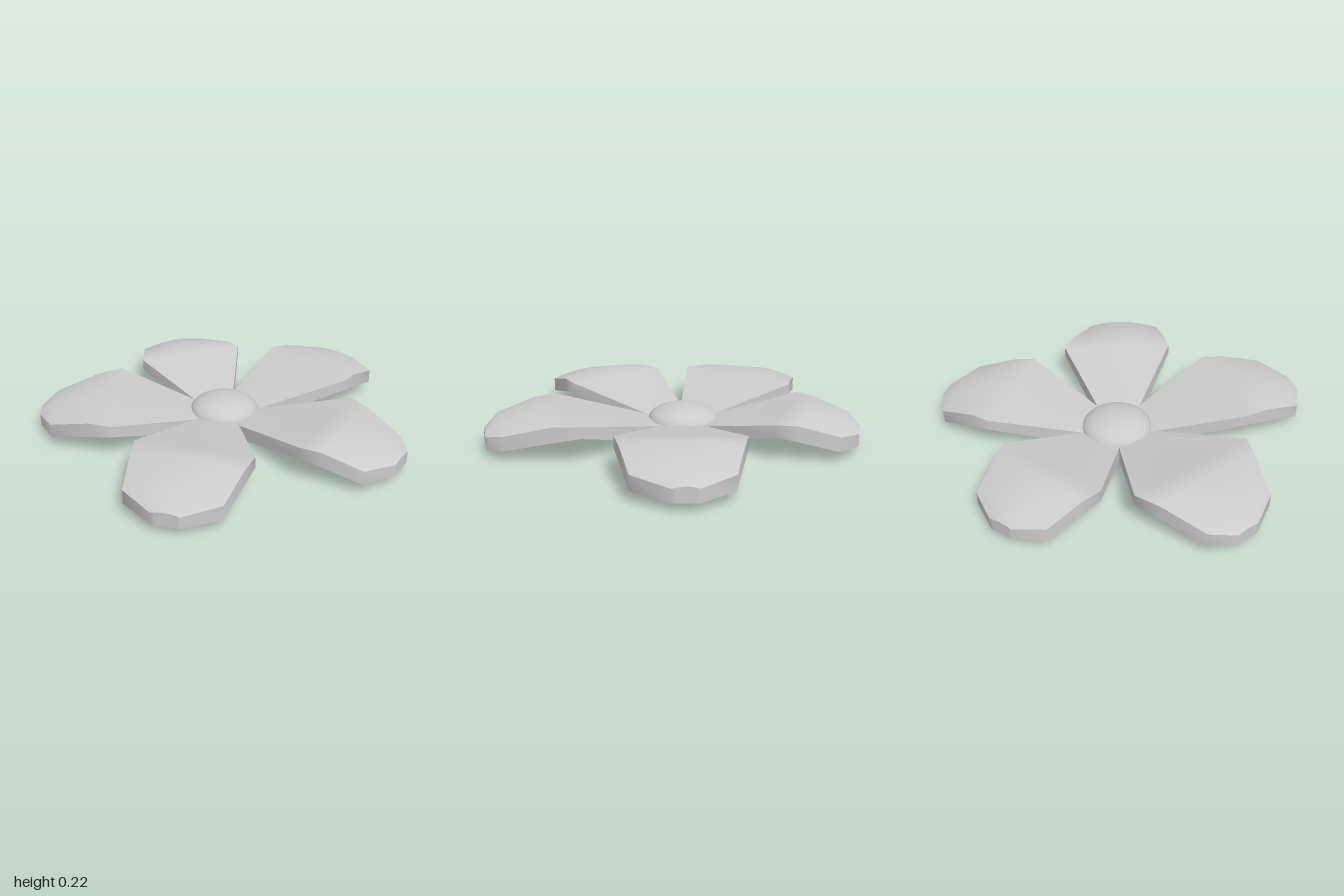
import * as THREE from 'three';

const material = new THREE.MeshStandardMaterial({ color: 0xcccccc, side: THREE.DoubleSide });
const HUB = [-0.02, -0.10];
const COLUMNS = 8;

// Points [x, z] where neighbouring petals meet around the hub
const NOTCHES = [[-0.14, 0.08], [0.11, 0.08], [0.18, -0.15], [-0.02, -0.30], [-0.21, -0.15]];

// Each petal: [left, right] outline points at the shoulder, the bend and the tip
const PETALS = [
  ['frontPetal', [[-0.305, 0.54], [0.305, 0.54]], [[-0.24, 0.88], [0.24, 0.88]], [[-0.07, 0.98], [0.07, 0.98]]],
  ['leftPetal', [[0.49, 0.40], [0.67, -0.20]], [[0.81, 0.44], [0.96, 0.05]], [[0.95, 0.30], [1.0, 0.16]]],
  ['backLeftPetal', [[0.61, -0.40], [0.11, -0.77]], [[0.73, -0.71], [0.36, -0.98]], [[0.64, -0.89], [0.54, -0.96]]],
  ['backRightPetal', [[-0.10, -0.73], [-0.60, -0.37]], [[-0.35, -0.92], [-0.70, -0.66]], [[-0.52, -0.89], [-0.62, -0.81]]],
  ['rightPetal', [[-0.68, -0.23], [-0.47, 0.45]], [[-0.97, 0.02], [-0.83, 0.41]], [[-1.0, 0.16], [-0.96, 0.28]]],
];

// Heights of each row, hub to tip: [centre, edge]
const TOP = [[0.09, 0.09], [0.09, 0.085], [0.19, 0.19], [0.215, 0.185], [0.165, 0.13], [0.115, 0.105]];
const BOTTOM = [[0, 0], [0, 0], [0.10, 0.13], [0.10, 0.105], [0.065, 0.055], [0.04, 0.04]];

const mix = (a, b, t) => a.map((v, i) => v + (b[i] - v) * t);

// Smooth surface through a grid of points
function gridGeometry(rows) {
  const n = rows[0].length, index = [];
  for (let r = 0; r < rows.length - 1; r++) {
    for (let c = 0; c < n - 1; c++) {
      const a = r * n + c, b = a + n;
      index.push(a, b, b + 1, a, b + 1, a + 1);
    }
  }
  const geometry = new THREE.BufferGeometry();
  geometry.setAttribute('position', new THREE.Float32BufferAttribute(rows.flat(2), 3));
  geometry.setIndex(index);
  geometry.computeVertexNormals();
  return geometry;
}

// Arched sheet across the petal outline at the given heights
function sheet(outline, heights) {
  return outline.map(([left, right], r) => Array.from({ length: COLUMNS + 1 }, (_, c) => {
    const u = c / COLUMNS;
    const [x, z] = mix(left, right, u);
    const [centre, edge] = heights[r];
    return [x, centre + (edge - centre) * (2 * u - 1) ** 2, z];
  }));
}

// Points around the free border of a sheet: left side, tip, right side
function border(rows) {
  const sides = rows.slice(1, -1);
  return [...sides.map((r) => r[0]), ...rows.at(-1), ...sides.map((r) => r.at(-1)).reverse()];
}

function createPetal([name, shoulder, bend, tip], i) {
  const base = [NOTCHES[i], NOTCHES[(i + 1) % 5]];
  const crest = shoulder.map((p, k) => mix(p, bend[k], 0.35));
  const outline = [[HUB, HUB], base, shoulder, crest, bend, tip];
  const top = sheet(outline, TOP), bottom = sheet(outline, BOTTOM);
  const petal = new THREE.Group();
  petal.name = name;
  const parts = {
    petalTop: top,
    petalUnderside: bottom.map((row) => [...row].reverse()),
    petalRim: [border(top), border(bottom)],
  };
  for (const [part, rows] of Object.entries(parts)) {
    const mesh = new THREE.Mesh(gridGeometry(rows), material);
    mesh.name = part;
    petal.add(mesh);
  }
  return petal;
}

export function createModel() {
  const flower = new THREE.Group();
  flower.name = 'flower';
  PETALS.forEach((petal, i) => flower.add(createPetal(petal, i)));

  // Shallow domed centre
  const dome = new THREE.Mesh(new THREE.SphereGeometry(0.19, 32, 12, 0, Math.PI * 2, 0, Math.PI / 2), material);
  dome.name = 'centreDome';
  dome.scale.y = 0.46;
  dome.position.set(HUB[0], 0.075, HUB[1]);
  flower.add(dome);
  return flower;
}
